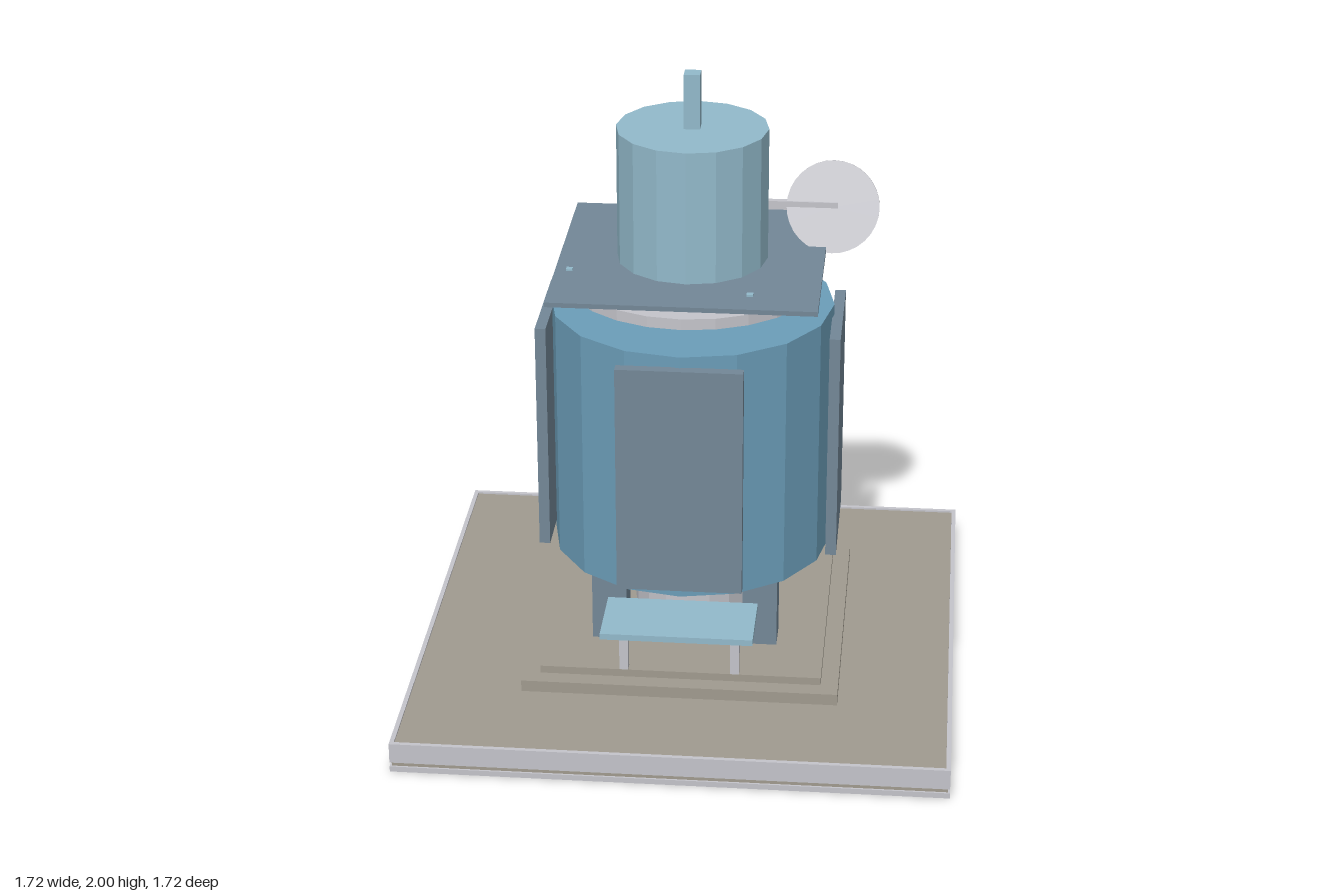
import * as THREE from 'three';

const mat = (name, color) => {
  const m = new THREE.MeshStandardMaterial({ color, flatShading: true });
  m.name = name;
  return m;
};

export function createModel() {
  const model = new THREE.Group();
  model.name = 'tower';
  const stone = mat('stone', 0xa09a8f);
  const grey = mat('paleGrey', 0xc4c4ca);
  const slate = mat('slate', 0x738797);
  const blue = mat('blue', 0x6b9db8);
  const sky = mat('lightBlue', 0x92b9ca);

  const add = (name, geometry, material, x, y, z) => {
    const mesh = new THREE.Mesh(geometry, material);
    mesh.name = name;
    mesh.position.set(x, y, z);
    model.add(mesh);
    return mesh;
  };
  // Box and drum span the heights y0 to y1
  const box = (name, m, w, d, y0, y1, x = 0, z = 0) =>
    add(name, new THREE.BoxGeometry(w, y1 - y0, d), m, x, (y0 + y1) / 2, z);
  const drum = (name, m, r, y0, y1, sides = 16) =>
    add(name, new THREE.CylinderGeometry(r, r, y1 - y0, sides), m, 0, (y0 + y1) / 2, 0);

  // Ground slab with thin rails and two steps
  box('slab', stone, 1.708, 1.708, 0, 0.094);
  for (const [y0, y1] of [[0.002, 0.02], [0.034, 0.1]]) {
    for (const s of [-1, 1]) {
      box('slabRail', grey, 1.72, 0.014, y0, y1, 0, s * 0.853);
      box('slabRail', grey, 0.014, 1.692, y0, y1, s * 0.853, 0);
    }
  }
  box('lowerStep', stone, 1, 1, 0.094, 0.132);
  box('upperStep', stone, 0.89, 0.89, 0.132, 0.157);

  // Column, legs and main body
  drum('column', grey, 0.185, 0.18, 1.39);
  for (const x of [-0.24, 0.24]) {
    for (const z of [-0.24, 0.24]) box('leg', slate, 0.11, 0.11, 0.185, 0.44, x, z);
  }
  drum('body', blue, 0.447, 0.43, 1.25);

  // Four side panels
  for (const s of [-1, 1]) {
    box('panel', slate, 0.39, 0.034, 0.465, 1.215, 0, s * 0.458);
    box('panel', slate, 0.034, 0.39, 0.465, 1.215, s * 0.458, 0);
  }

  // Ring, roof plate, upper drum and mast
  drum('ring', grey, 0.4, 1.32, 1.355, 24);
  box('roofPlate', slate, 0.825, 0.825, 1.385, 1.4);
  drum('upperDrum', sky, 0.236, 1.4, 1.825);
  box('mast', sky, 0.05, 0.05, 1.825, 2);

  // Small floating marker plates above the roof
  for (const [x, z] of [[-0.36, 0.21], [0.205, 0.36], [-0.205, -0.36], [0.36, -0.205]]) {
    box('roofMarker', sky, 0.02, 0.02, 1.424, 1.43, x, z);
  }

  // Tilted dish on its side arm
  box('dishArm', grey, 0.27, 0.02, 1.506, 1.534, 0.31, -0.15);
  const dish = add('dish', new THREE.CylinderGeometry(0.146, 0.146, 0.016, 32), grey, 0.43, 1.518, -0.149);
  dish.rotation.x = Math.PI / 2 - 0.32;

  // Entrance bench
  box('benchTop', sky, 0.475, 0.235, 0.342, 0.362, 0, 0.465);
  for (const x of [-0.175, 0.175]) box('benchLeg', grey, 0.028, 0.03, 0.178, 0.342, x, 0.465);

  return model;
}
